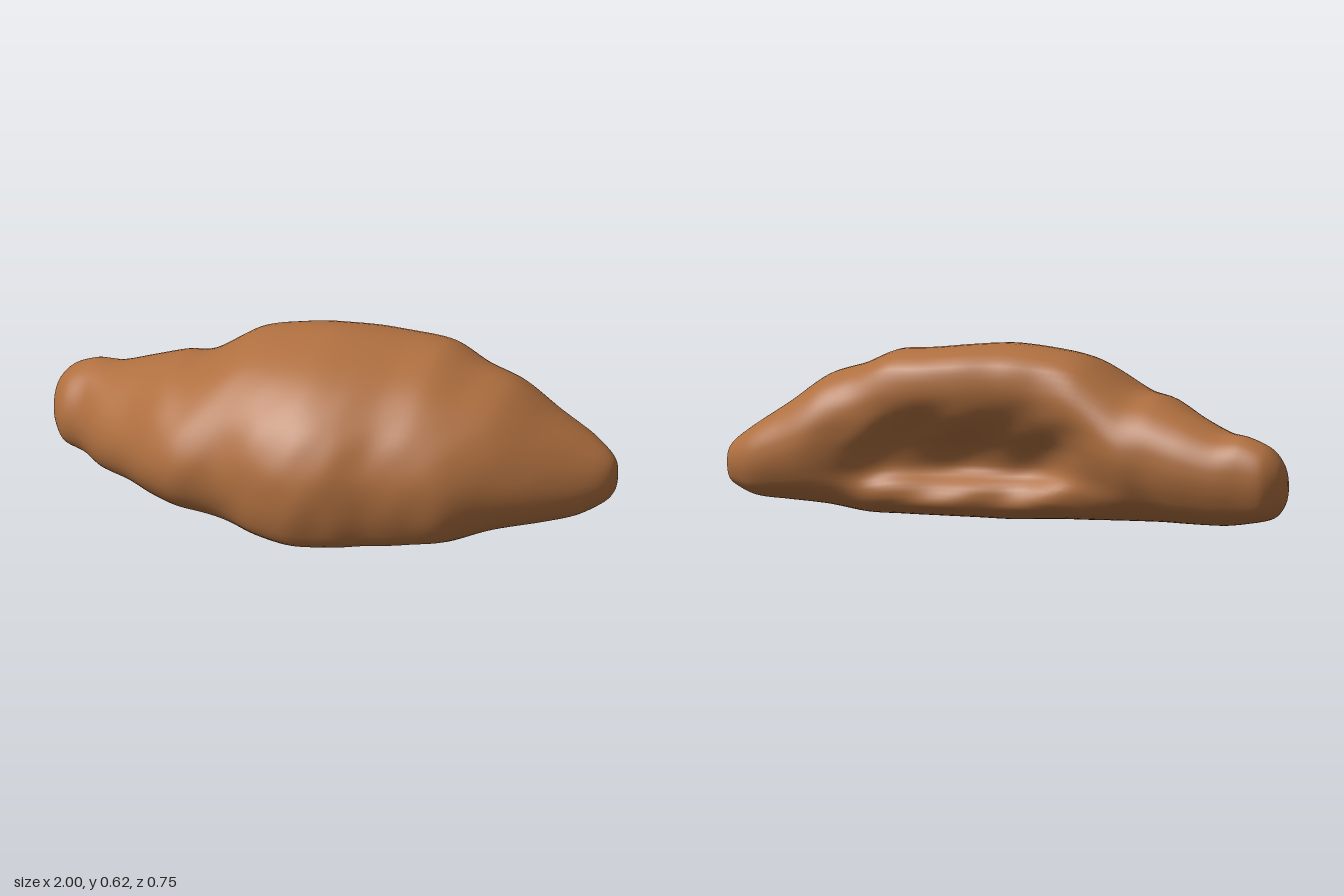
import * as THREE from 'three';

// Stations along the loaf: x, bottom y, top y, back z, front z
const STATIONS = [
  [-1.0, 0.18, 0.22, -0.24, -0.2],
  [-0.985, 0.12, 0.27, -0.28, -0.15],
  [-0.94, 0.07, 0.318, -0.32, -0.09],
  [-0.86, 0.05, 0.35, -0.333, -0.055],
  [-0.77, 0.035, 0.36, -0.345, 0.035],
  [-0.65, 0.03, 0.405, -0.35, 0.115],
  [-0.53, 0.025, 0.455, -0.343, 0.22],
  [-0.42, 0.02, 0.48, -0.345, 0.283],
  [-0.26, 0.015, 0.577, -0.335, 0.3],
  [-0.12, 0.01, 0.608, -0.322, 0.35],
  [0.02, 0.002, 0.62, -0.332, 0.377],
  [0.15, 0.006, 0.612, -0.358, 0.358],
  [0.27, 0.01, 0.6, -0.37, 0.308],
  [0.4, 0.012, 0.588, -0.376, 0.272],
  [0.52, 0.014, 0.535, -0.378, 0.237],
  [0.65, 0.038, 0.49, -0.376, 0.15],
  [0.78, 0.052, 0.395, -0.357, 0.055],
  [0.89, 0.065, 0.32, -0.335, -0.045],
  [0.96, 0.095, 0.268, -0.295, -0.12],
  [0.99, 0.12, 0.235, -0.265, -0.165],
  [1.0, 0.16, 0.2, -0.235, -0.2],
];

// Cross-sections as (z, y): z from -1 back to 1 front, y from 0 to 1.
// Both run front, bottom, back, top.
const HOLLOW = [
  [1, 0.34], [0.96, 0.14], [0.82, 0.01], [0.4, 0], [0, 0], [-0.38, 0.02],
  [-0.68, 0.09], [-0.67, 0.2], [-0.5, 0.29], [-0.57, 0.41], [-0.74, 0.52],
  [-0.91, 0.65], [-0.98, 0.79], [-0.89, 0.94], [-0.52, 1], [0, 0.955],
  [0.4, 0.86], [0.75, 0.69], [0.94, 0.51],
];
const ROUND = [
  [1, 0.38], [0.93, 0.2], [0.74, 0.06], [0.45, 0], [0.1, 0], [-0.28, 0.02],
  [-0.57, 0.08], [-0.78, 0.18], [-0.91, 0.32], [-0.98, 0.45], [-1, 0.57],
  [-0.97, 0.7], [-0.86, 0.83], [-0.65, 0.94], [-0.32, 1], [0.08, 0.98],
  [0.45, 0.9], [0.76, 0.74], [0.94, 0.56],
];

const closedCurve = (pts) =>
  new THREE.CatmullRomCurve3(pts.map(([z, y]) => new THREE.Vector3(0, y, z)), true, 'catmullrom', 0.5);

// Smooth interpolation of a whole station
function stationAt(s) {
  const last = STATIONS.length - 1;
  const i = Math.min(Math.floor(s), last - 1);
  const f = s - i;
  const row = (k) => STATIONS[THREE.MathUtils.clamp(k, 0, last)];
  return STATIONS[0].map((_, c) => {
    const p0 = row(i - 1)[c], p1 = row(i)[c], p2 = row(i + 1)[c], p3 = row(i + 2)[c];
    const m1 = (p2 - p0) * 0.45, m2 = (p3 - p1) * 0.45;
    const f2 = f * f, f3 = f2 * f;
    return (2 * f3 - 3 * f2 + 1) * p1 + (f3 - 2 * f2 + f) * m1 + (3 * f2 - 2 * f3) * p2 + (f3 - f2) * m2;
  });
}

function loafGeometry() {
  const around = 76, perStation = 6;
  const rows = (STATIONS.length - 1) * perStation;
  const hollow = closedCurve(HOLLOW), round = closedCurve(ROUND);
  const positions = [], index = [];
  const p = new THREE.Vector3();

  for (let r = 0; r <= rows; r++) {
    const [x, y0, y1, z0, z1] = stationAt(r / perStation);
    // The hollow lies in the middle of the back and fades towards both horns
    const w = 1 - THREE.MathUtils.smoothstep(Math.abs(x - 0.13), 0.15, 0.6);
    for (let a = 0; a < around; a++) {
      const t = a / around;
      p.copy(round.getPoint(t)).lerp(hollow.getPoint(t), w);
      // Soft baked lumps, deeper inside the hollow, fading at the tips
      const inside = THREE.MathUtils.smoothstep(t, 0.26, 0.36) * (1 - THREE.MathUtils.smoothstep(t, 0.52, 0.62));
      const lump = Math.sin(x * 17 + p.y * 5) * Math.sin(p.y * 9 + x * 4 + 1);
      const fine = Math.sin(x * 31 - p.y * 12) * Math.sin(p.z * 7 + x * 9);
      const shrink = 1 - (0.006 * (1 + lump) + 0.006 * fine) * (1 - Math.abs(x)) - 0.06 * inside * w * lump;
      const zc = (z0 + z1) / 2, half = (z1 - z0) / 2;
      positions.push(x, y0 + p.y * (y1 - y0), zc + p.z * half * shrink);
    }
  }
  for (let r = 0; r < rows; r++) {
    for (let a = 0; a < around; a++) {
      const i = r * around + a, j = r * around + ((a + 1) % around);
      index.push(i, j, i + around, j, j + around, i + around);
    }
  }
  // Close both tips
  for (const [r, flip] of [[0, true], [rows, false]]) {
    const base = r * around;
    for (let a = 1; a < around - 1; a++) {
      if (flip) index.push(base, base + a + 1, base + a);
      else index.push(base, base + a, base + a + 1);
    }
  }
  const geometry = new THREE.BufferGeometry();
  geometry.setAttribute('position', new THREE.Float32BufferAttribute(positions, 3));
  geometry.setIndex(index);
  geometry.computeVertexNormals();
  return geometry;
}

export function createModel() {
  const group = new THREE.Group();
  group.name = 'croissant';
  const crust = new THREE.MeshStandardMaterial({ color: 0xb07040 });
  crust.name = 'golden brown crust';
  const loaf = new THREE.Mesh(loafGeometry(), crust);
  loaf.name = 'rolledDough';
  group.add(loaf);
  return group;
}
